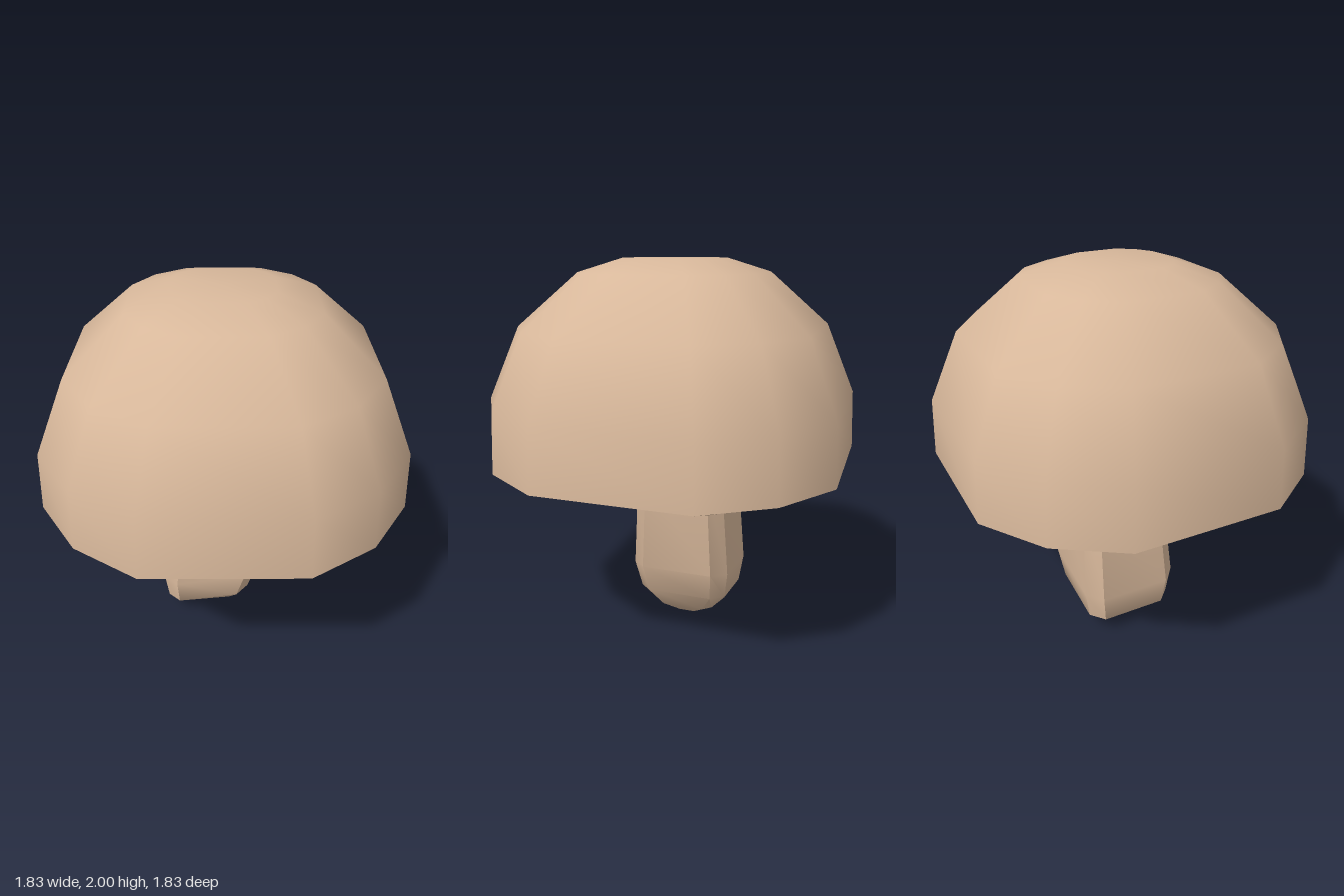
import * as THREE from 'three';
import { toCreasedNormals } from 'three/addons/utils/BufferGeometryUtils.js';

// Skin rings of points; listing them from the bottom centre outward and up faces the skin outward.
function loft(rings, crease) {
  const pos = [];
  const tri = (a, b, c) => {
    const area = b.clone().sub(a).cross(c.clone().sub(a)).length();
    if (area > 1e-7) for (const p of [a, b, c]) pos.push(p.x, p.y, p.z);
  };
  for (let i = 0; i < rings.length - 1; i++) {
    const low = rings[i], high = rings[i + 1], n = low.length;
    for (let j = 0; j < n; j++) {
      const k = (j + 1) % n;
      tri(low[j], high[j], high[k]);
      tri(low[j], high[k], low[k]);
    }
  }
  const geometry = new THREE.BufferGeometry();
  geometry.setAttribute('position', new THREE.Float32BufferAttribute(pos, 3));
  return toCreasedNormals(geometry, crease);
}

// Twelve-sided rounded square of half width w at height y.
function capRing(w, y, side = 0.424, diagonal = 0.773) {
  const quarter = [[w, w * side], [w * diagonal, w * diagonal], [w * side, w]];
  const ring = [];
  for (let q = 0; q < 4; q++) {
    for (const [a, b] of quarter) {
      const [x, z] = [[a, b], [-b, a], [-a, -b], [b, -a]][q];
      ring.push(new THREE.Vector3(x, y, z));
    }
  }
  return ring;
}

// Rectangle with cut corners, leaning slightly along x.
function stemRing([y, cx, hx, cz, hz, tilt]) {
  const cut = 0.72;
  return [[1, -cut], [1, cut], [cut, 1], [-cut, 1], [-1, cut], [-1, -cut], [-cut, -1], [cut, -1]]
    .map(([u, v]) => new THREE.Vector3(cx + u * hx, y + tilt * u * hx, cz + v * hz));
}

export function createModel() {
  const model = new THREE.Group();
  const tan = new THREE.MeshStandardMaterial({ color: 0xd8b89b });
  tan.name = 'mushroomTan';
  const add = (name, geometry) => {
    const mesh = new THREE.Mesh(geometry, tan);
    mesh.name = name;
    model.add(mesh);
  };

  // Domed cap
  add('capDome', loft([
    capRing(0.915, 0.98), capRing(0.9, 1.29), capRing(0.75, 1.66),
    capRing(0.46, 1.93), capRing(0.25, 2), capRing(0, 2),
  ], Math.PI));

  // Sloping underside and the shallow hollow inside its octagonal edge
  const innerEdge = capRing(0.62, 0.875, 0.63, 0.815);
  add('capUnderside', loft([innerEdge, capRing(0.915, 0.98)], Math.PI));
  add('capHollow', loft([
    capRing(0, 1.03), capRing(0.35, 1.0, 0.63, 0.815), innerEdge,
  ], Math.PI));

  // Leaning stem with a rounded foot: y, centre x, half x, centre z, half z, tilt
  add('stem', loft([
    [0, -0.08, 0, -0.07, 0, 0],
    [0.002, -0.08, 0.08, -0.07, 0.06, 0],
    [0.055, -0.09, 0.17, -0.07, 0.16, 0.08],
    [0.14, -0.095, 0.235, -0.07, 0.245, 0.15],
    [0.3, -0.077, 0.272, -0.07, 0.27, 0.15],
    [0.87, -0.02, 0.24, -0.075, 0.235, 0],
    [1.1, 0.003, 0.23, -0.077, 0.22, 0],
    [1.1, 0.003, 0, -0.077, 0, 0],
  ].map(stemRing), 0.72));

  return model;
}
